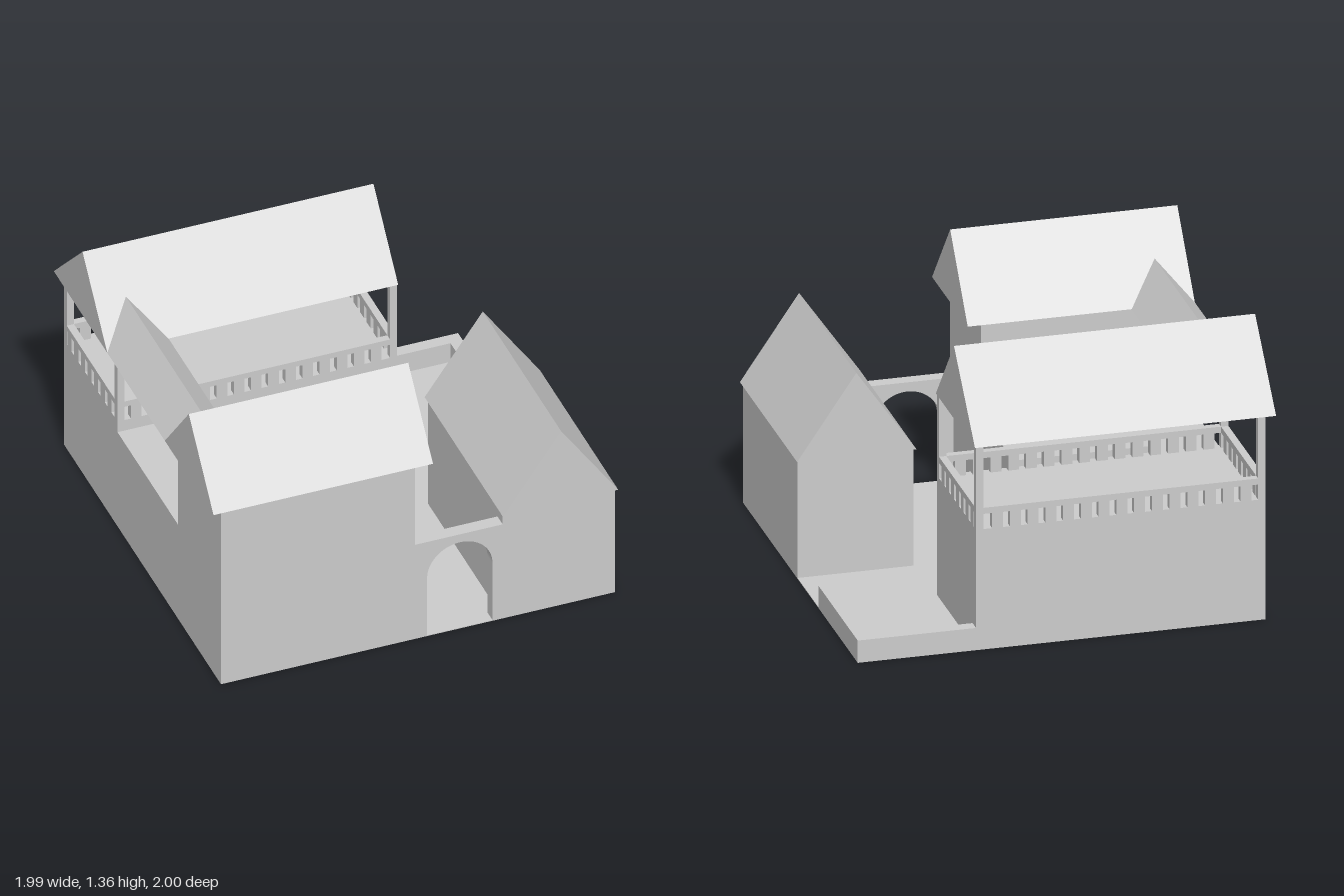
import * as THREE from 'three';

const material = new THREE.MeshStandardMaterial({ color: 0xcccccc, flatShading: true });

export function createModel() {
  const model = new THREE.Group();

  function add(name, geometry, parent = model) {
    const mesh = new THREE.Mesh(geometry, material);
    mesh.name = name;
    parent.add(mesh);
    return mesh;
  }

  // Box given by its extents on each axis
  function box(name, x0, x1, y0, y1, z0, z1, parent) {
    const g = new THREE.BoxGeometry(x1 - x0, y1 - y0, z1 - z0);
    g.translate((x0 + x1) / 2, (y0 + y1) / 2, (z0 + z1) / 2);
    return add(name, g, parent);
  }

  // Gable roof: triangle extruded along z; the eaves can be shorter than the ridge
  function gableRoof(name, x0, x1, ridge, y0, y1, z0, z1, shorten = 0) {
    const shape = new THREE.Shape([
      new THREE.Vector2(x0, y0), new THREE.Vector2(x1, y0), new THREE.Vector2(ridge, y1),
    ]);
    const g = new THREE.ExtrudeGeometry(shape, { depth: z1 - z0, bevelEnabled: false });
    g.translate(0, 0, z0);
    const p = g.attributes.position;
    for (let i = 0; i < p.count; i++) {
      if (p.getY(i) > y0 + 0.01) continue;
      p.setZ(i, p.getZ(i) + (p.getZ(i) < (z0 + z1) / 2 ? shorten : -shorten));
    }
    g.computeVertexNormals();
    return add(name, g);
  }

  // Ground and house bodies
  box('ground', -0.95, 0.98, 0, 0.004, -1, 0.965);
  box('backHouse', -0.95, 0.42, 0, 0.595, -1, -0.33);
  box('frontHouse', -0.95, 0, 0, 1, 0.43, 0.965);
  box('rightHouse', 0.43, 0.98, 0, 0.595, 0.03, 0.965);

  // Raised courtyard terrace, stepped in plan
  box('terrace', -0.95, 0, 0, 0.535, -0.12, 0.43);
  box('terracePassage', -0.95, -0.68, 0, 0.535, -0.33, -0.12);

  // Roofs; those running along x are turned a quarter (local x becomes -z)
  gableRoof('backRoof', 0.33, 1, 0.64, 1, 1.36, -1, 0.425).rotation.y = Math.PI / 2;
  gableRoof('frontRoof', -1, -0.39, -0.69, 1, 1.36, -1, 0.075).rotation.y = Math.PI / 2;
  gableRoof('rightRoof', 0.425, 0.99, 0.71, 0.59, 1, 0, 0.98);
  gableRoof('connectingRoof', -1, -0.7, -0.85, 1, 1.175, -0.485, 0.54, 0.153);

  // Gate wall with round arch
  const wall = new THREE.Shape();
  wall.moveTo(0, 0);
  wall.lineTo(0.06, 0);
  wall.lineTo(0.06, 0.33);
  wall.absarc(0.22, 0.33, 0.16, Math.PI, 0, true);
  wall.lineTo(0.38, 0);
  wall.lineTo(0.43, 0);
  wall.lineTo(0.43, 0.535);
  wall.lineTo(0, 0.535);
  const gate = new THREE.ExtrudeGeometry(wall, { depth: 0.065, bevelEnabled: false, curveSegments: 24 });
  gate.translate(0, 0, 0.9);
  add('gateWall', gate);

  // Roof terrace of the back house: corner posts, rails and balusters
  const loggia = new THREE.Group();
  loggia.name = 'loggia';
  model.add(loggia);
  const t = 0.035;
  for (const x of [-0.95, 0.42 - t]) {
    for (const z of [-1, -0.33 - t]) box('post', x, x + t, 0.595, 1, z, z + t, loggia);
    box('sideRail', x, x + t, 0.67, 0.7, -1 + t, -0.33 - t, loggia);
    for (let i = 0; i < 7; i++) {
      const c = -0.4315 - 0.083 * i;
      box('baluster', x, x + t, 0.595, 0.67, c - 0.0255, c + 0.0255, loggia);
    }
  }
  for (const z of [-1, -0.33 - t]) {
    box('longRail', -0.95 + t, 0.42 - t, 0.67, 0.7, z, z + t, loggia);
    for (let i = 0; i < 15; i++) {
      const c = -0.858 + 0.084 * i;
      box('baluster', c - 0.026, c + 0.026, 0.595, 0.67, z, z + t, loggia);
    }
  }

  // Low garden wall
  box('gardenWallBack', 0.42, 0.98, 0, 0.11, -1, -0.94);
  box('gardenWallSide', 0.92, 0.98, 0, 0.11, -0.94, -0.33);

  return model;
}
